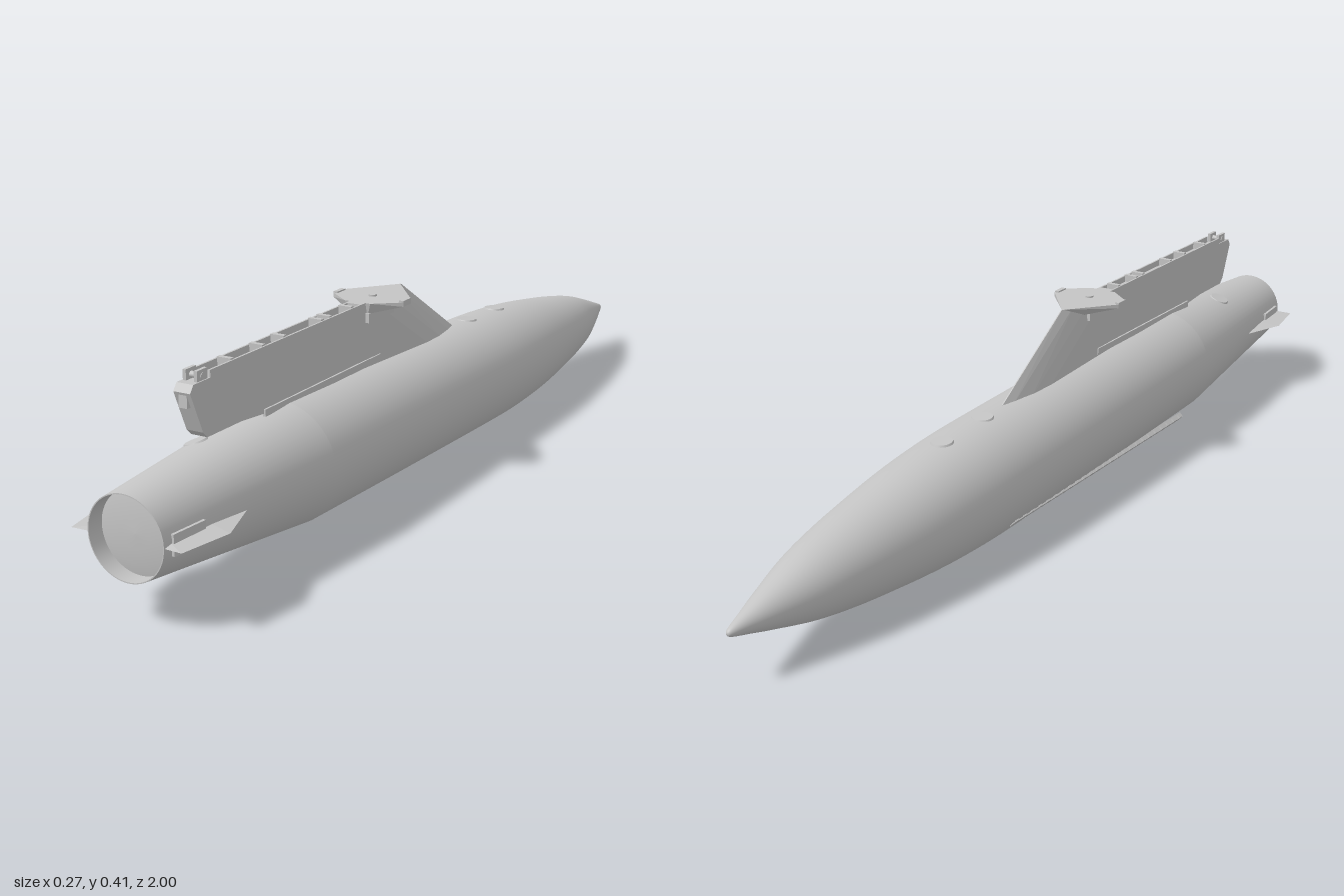
import * as THREE from 'three';
import { ConvexGeometry } from 'three/addons/geometries/ConvexGeometry.js';

const grey = new THREE.MeshStandardMaterial({ color: 0xc4c4c4 });
grey.name = 'bare grey';

// Height of the tank's slightly tilted axis at z
const axisY = z => 0.136 + 0.029 * z;

export function createModel() {
  const model = new THREE.Group();

  function add(name, geometry, x = 0, y = 0, z = 0, parent = model) {
    const mesh = new THREE.Mesh(geometry, grey);
    mesh.name = name;
    mesh.position.set(x, y, z);
    parent.add(mesh);
    return mesh;
  }
  const box = (name, w, h, d, x, y, z, parent) =>
    add(name, new THREE.BoxGeometry(w, h, d), x, y, z, parent);
  const hull = (name, pts, parent) =>
    add(name, new ConvexGeometry(pts.map(p => new THREE.Vector3(...p))), 0, 0, 0, parent);

  // Turned body sections, given as [radius, z], sheared onto the tilted axis
  function turned(name, profile) {
    const g = new THREE.LatheGeometry(profile.map(p => new THREE.Vector2(...p)), 56);
    g.rotateX(Math.PI / 2);
    const p = g.attributes.position;
    for (let i = 0; i < p.count; i++) p.setY(i, p.getY(i) + axisY(p.getZ(i)));
    return add(name, g);
  }
  const ogive = new THREE.SplineCurve([
    [0, -1], [0.008, -0.993], [0.022, -0.95], [0.038, -0.9], [0.067, -0.8], [0.086, -0.7],
    [0.1, -0.6], [0.112, -0.5], [0.12, -0.4], [0.125, -0.28], [0.126, -0.1],
  ].map(p => new THREE.Vector2(...p))).getPoints(50).map(p => [Math.max(0, p.x), p.y]);
  turned('noseAndBarrel', [...ogive, [0.126, 0.2], [0.125, 0.53]]);
  turned('tailCone', [[0.125, 0.53], [0.081, 1]]);
  turned('tailRim', [[0.081, 1], [0.079, 1]]);
  turned('tailRecess', [[0.079, 1], [0.079, 0.965]]);
  turned('tailBulkhead', [[0.079, 0.965], [0.06, 0.969], [0.03, 0.972], [0, 0.973]]);

  // Flush round caps on top of the tank
  for (const [x, z, r] of [[0, -0.37, 0.124], [0, -0.23, 0.126], [-0.035, 0.75, 0.1045]]) {
    const a = Math.asin(x / r);
    const cap = add('fillerCap', new THREE.CylinderGeometry(0.022, 0.024, 0.004, 24),
      x, axisY(z) + r * Math.cos(a) - 0.001, z);
    cap.rotation.set(z > 0 ? 0.065 : -0.06, 0, -a);
  }

  // Side fins with a thick root and sharp edges
  for (const s of [-1, 1]) {
    const y = 0.163;
    hull('tailFin', [
      [s * 0.09, y, 0.76], [s * 0.137, y, 0.89], [s * 0.117, y, 1], [s * 0.079, y, 0.998],
      [s * 0.09, y + 0.005, 0.88], [s * 0.09, y - 0.005, 0.88],
      [s * 0.08, y + 0.004, 0.98], [s * 0.08, y - 0.004, 0.98],
    ]);
    const root = box('finRootPlate', 0.006, 0.04, 0.08, s * 0.0875, y, 0.94);
    root.rotation.y = -s * 0.093;
  }

  // Pylon
  const pylon = new THREE.Group();
  pylon.name = 'pylon';
  model.add(pylon);

  // Swept leading part: foil outlines at the base and the top
  const lead = [];
  for (const [y, z0, w] of [[0.25, -0.17, 0.023], [0.403, 0.07, 0.02]]) {
    for (const [k, d] of [[0.06, 0], [0.45, 0.035], [0.85, 0.09], [1, 0.15]])
      for (const s of [-1, 1]) lead.push([s * k * w, y, z0 + d]);
    for (const s of [-1, 1]) lead.push([s * 0.018, y, 0.26]);
  }
  hull('pylonLeadingEdge', lead, pylon);

  // Main slab behind it, outlined as [z, y]
  const outline = [[0.2, 0.26], [0.55, 0.27], [0.68, 0.282], [0.785, 0.283],
    [0.797, 0.295], [0.83, 0.375], [0.82, 0.389], [0.2, 0.389]];
  const shape = new THREE.Shape(outline.map(([z, y]) => new THREE.Vector2(-z, y)));
  const slab = new THREE.ExtrudeGeometry(shape, { depth: 0.036, bevelEnabled: false });
  slab.translate(0, 0, -0.018).rotateY(Math.PI / 2);
  add('pylonSlab', slab, 0, 0, 0, pylon);

  // Top channel: two rails, cross bars and bolts
  for (const s of [-1, 1]) {
    box('channelRail', 0.004, 0.016, 0.52, s * 0.016, 0.395, 0.51, pylon);
    box('baseFlange', 0.006, 0.014, 0.42, s * 0.019, 0.277, 0.4, pylon);
    box('sideFairing', 0.01, 0.02, 0.1, s * 0.022, 0.372, 0.195, pylon);
  }
  for (const z of [0.29, 0.37, 0.4, 0.53, 0.6, 0.7])
    box('crossBar', 0.03, 0.016, 0.01, 0, 0.398, z, pylon);

  // Rear fitting: clevis, pin and stop
  for (const s of [-1, 1])
    box('clevisLug', 0.007, 0.03, 0.03, s * 0.012, 0.394, 0.79, pylon);
  const pin = add('clevisPin', new THREE.CylinderGeometry(0.006, 0.006, 0.034, 12), 0, 0.397, 0.79, pylon);
  pin.rotation.z = Math.PI / 2;
  box('rearStop', 0.018, 0.024, 0.012, 0, 0.358, 0.822, pylon);

  // Cross plate, thinning towards the clipped tips
  const plate = [];
  for (const s of [-1, 1]) plate.push(
    [s * 0.003, 0.403, 0.075], [s * 0.083, 0.403, 0.172], [s * 0.083, 0.403, 0.203], [s * 0.03, 0.403, 0.245],
    [s * 0.083, 0.394, 0.172], [s * 0.083, 0.394, 0.203], [s * 0.022, 0.38, 0.13], [s * 0.022, 0.38, 0.24]);
  hull('crossPlate', plate, pylon);
  add('crossPlateBolt', new THREE.CylinderGeometry(0.009, 0.009, 0.005, 16), 0, 0.404, 0.185, pylon);
  for (const s of [-1, 1])
    box('tipPad', 0.01, 0.004, 0.03, s * 0.078, 0.404, 0.188, pylon);

  // Toothed conduit low on one side
  const conduit = new THREE.Group();
  conduit.name = 'sideConduit';
  const angle = Math.atan2(-0.093, -0.093);
  conduit.position.set(0.126 * Math.cos(angle), axisY(0.095) + 0.126 * Math.sin(angle), 0.095);
  conduit.rotation.set(-0.029, 0, angle, 'ZXY');
  model.add(conduit);
  box('conduitRail', 0.012, 0.018, 0.75, 0, 0, 0, conduit);
  for (let i = 0; i < 25; i++)
    box('conduitTooth', 0.008, 0.026, 0.012, 0.002, 0, -0.36 + i * 0.03, conduit);

  // Small drain stud under the belly
  add('drainStud', new THREE.CylinderGeometry(0.006, 0.006, 0.01, 12), 0, 0.005, -0.25);
  return model;
}
